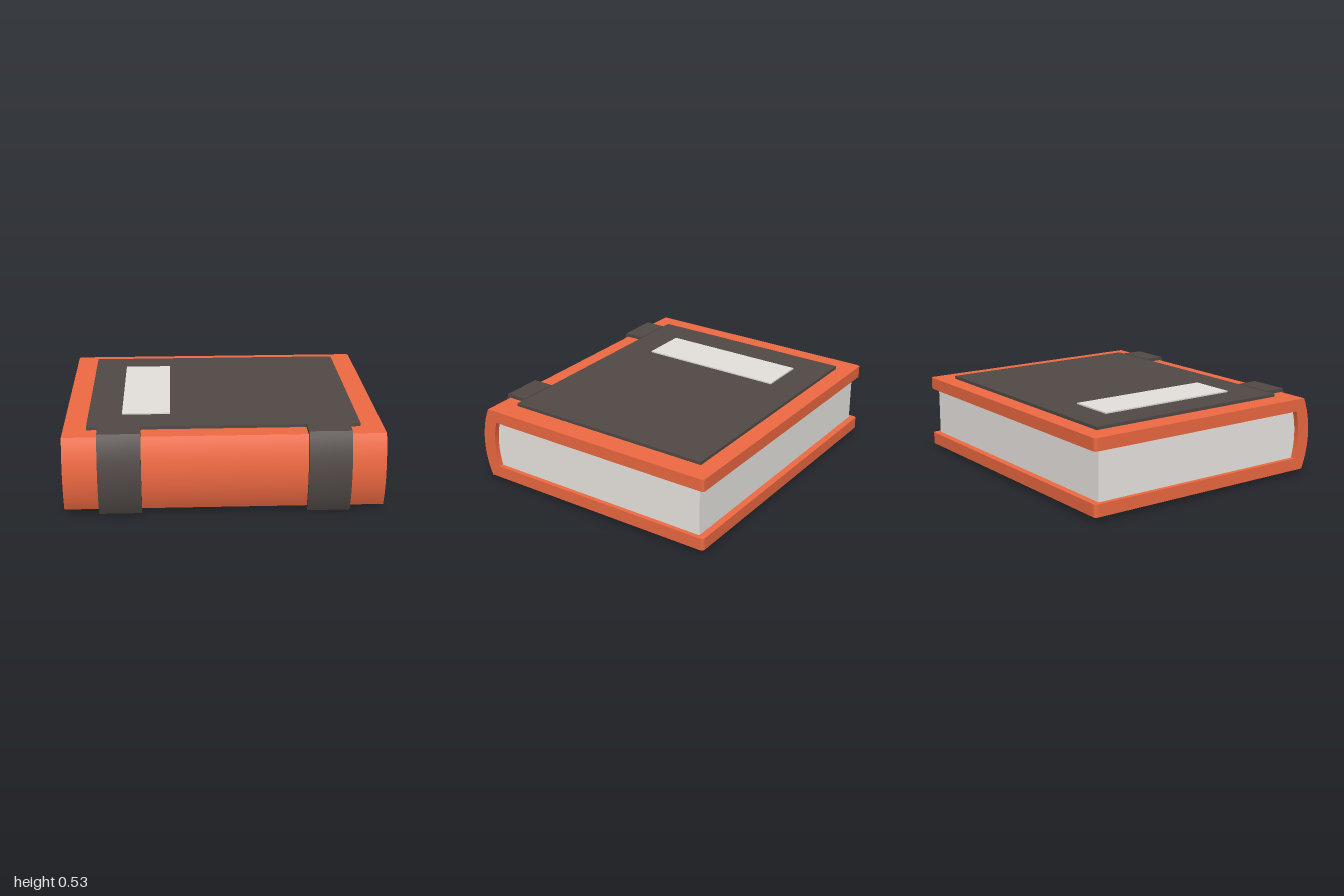
import * as THREE from 'three';
import { toCreasedNormals } from 'three/addons/utils/BufferGeometryUtils.js';

const paint = (color) => new THREE.MeshStandardMaterial({ color });
const MID = 0.266; // height of the book's middle

// Bulging curve in the (z, y) plane from bottom to top, ends at z0, middle at z1
function bulge(z0, z1, y0, y1, n = 14) {
  const half = (y1 - y0) / 2, sag = z1 - z0;
  const r = (half * half + sag * sag) / (2 * sag);
  return Array.from({ length: n + 1 }, (_, i) => {
    const a = Math.asin(half / r) * (2 * i / n - 1);
    return new THREE.Vector2(z1 - r + r * Math.cos(a), (y0 + y1) / 2 + r * Math.sin(a));
  });
}

// Extrudes a (z, y) profile along x, centred on x = 0
function extrudeAlongX(points, width) {
  const geo = new THREE.ExtrudeGeometry(new THREE.Shape(points), { depth: width, bevelEnabled: false });
  geo.translate(0, 0, -width / 2).rotateY(-Math.PI / 2);
  return toCreasedNormals(geo, 0.3);
}

// C-shaped wrap: outer bulge, inner bulge and two arms reaching back to zArm
function wrapProfile(outer, inner, zArm) {
  const o0 = outer[0].y, o1 = outer.at(-1).y, i0 = inner[0].y, i1 = inner.at(-1).y;
  const v = (z, y) => new THREE.Vector2(z, y);
  return [v(zArm, o0), ...outer, v(zArm, o1), v(zArm, i1), ...[...inner].reverse(), v(zArm, i0)];
}

export function createModel() {
  const book = new THREE.Group();
  book.name = 'book';
  const orange = paint(0xf06a42), dark = paint(0x524a47), paper = paint(0xeeeae6), cream = paint(0xe6e2de);

  const add = (name, geo, mat, x = 0, y = 0, z = 0) => {
    const mesh = new THREE.Mesh(geo, mat);
    mesh.name = name;
    mesh.position.set(x, y, z);
    book.add(mesh);
  };
  const box = (name, mat, x0, x1, y0, y1, z0, z1) =>
    add(name, new THREE.BoxGeometry(x1 - x0, y1 - y0, z1 - z0), mat, (x0 + x1) / 2, (y0 + y1) / 2, (z0 + z1) / 2);

  // Cover boards, with small rounded corners at the back edge
  const r = 0.022, back = 0.87, joint = 0.7;
  const plan = new THREE.Shape();
  plan.moveTo(-1, -joint).lineTo(1, -joint).lineTo(1, back - r);
  plan.quadraticCurveTo(1, back, 1 - r, back);
  plan.lineTo(-1 + r, back);
  plan.quadraticCurveTo(-1, back, -1, back - r);
  const board = new THREE.ExtrudeGeometry(plan, { depth: 0.08, bevelEnabled: false, curveSegments: 3 });
  board.rotateX(-Math.PI / 2);
  add('bottomCover', board, orange, 0, 0.027, 0);
  add('topCover', board, orange, 0, 0.425, 0);

  // Rounded spine joining the boards
  const spine = wrapProfile(bulge(0.795, 0.845, 0.027, 0.505), bulge(0.73, 0.753, 0.107, 0.425), joint);
  add('spine', extrudeAlongX(spine, 2), orange);

  // Page block with a curved bound edge
  const pages = [new THREE.Vector2(-0.825, 0.107), ...bulge(0.725, 0.748, 0.107, 0.425), new THREE.Vector2(-0.825, 0.425)];
  add('pages', extrudeAlongX(pages, 1.94), paper);

  // Dark panels on both covers, and the title label
  box('topPanel', dark, -0.855, 0.855, 0.5, 0.525, -0.755, 0.67);
  box('bottomPanel', dark, -0.855, 0.855, 0.004, 0.03, -0.755, 0.67);
  box('label', cream, -0.64, -0.333, 0.52, 0.534, -0.535, 0.45);

  // Two straps wrapped round the spine
  const strap = extrudeAlongX(
    wrapProfile(bulge(0.81, 0.87, 0, 2 * MID - 0.003), bulge(0.793, 0.843, 0.029, 0.503), 0.668), 0.268);
  for (const [name, side] of [['leftStrap', 1], ['rightStrap', -1]]) add(name, strap, dark, side * 0.65);

  return book;
}
